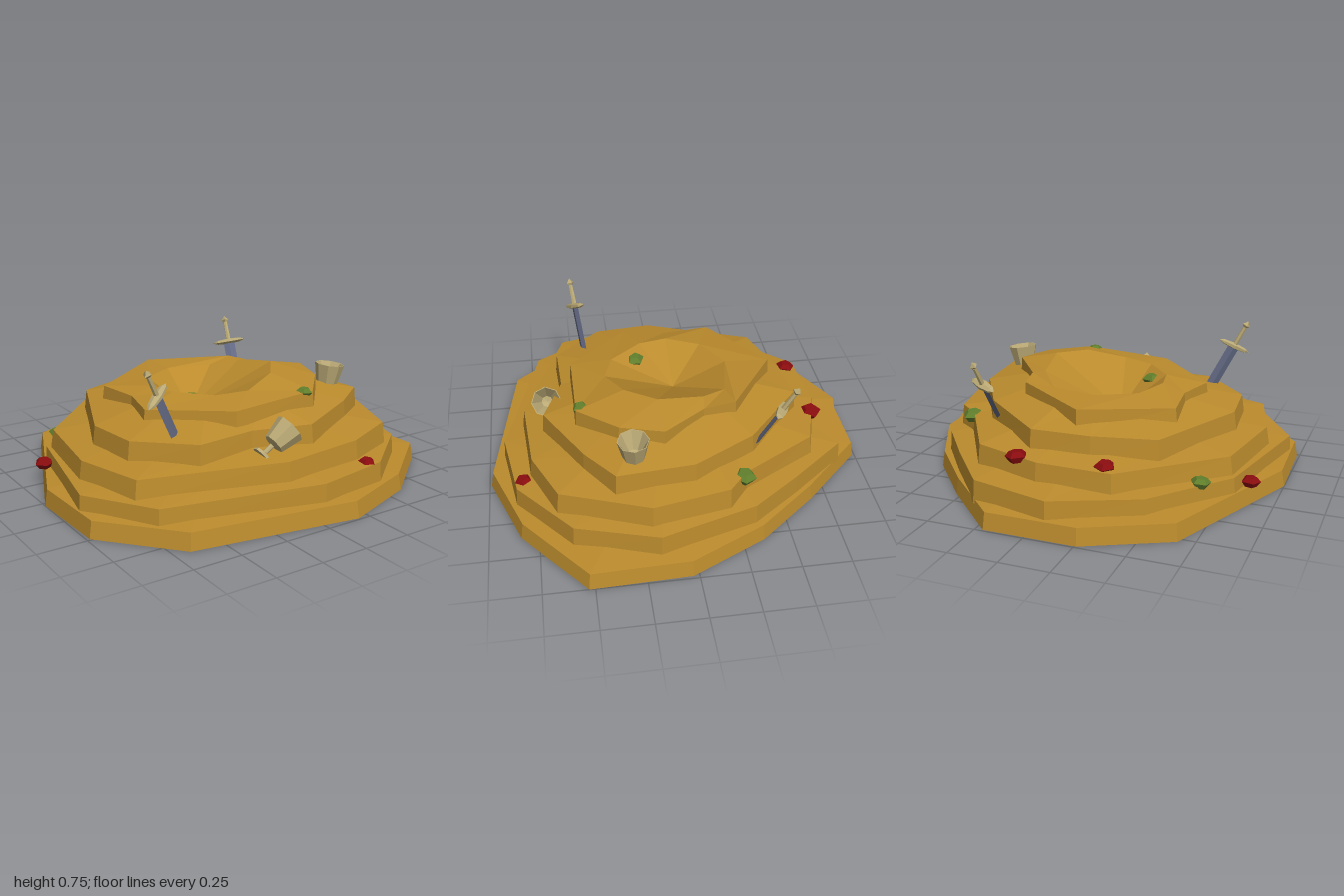
import * as THREE from 'three';

const mat = (name, color) => new THREE.MeshStandardMaterial({ name, color, flatShading: true });

export function createModel() {
  const group = new THREE.Group();
  group.name = 'treasureMound';
  const gold = mat('gold', 0xbb8b2d);
  const red = mat('rubyRed', 0x8a0c0f);
  const green = mat('gemGreen', 0x617f2c);
  const pale = mat('paleBrass', 0xbbaa76);
  const steel = mat('blueSteel', 0x646b85);

  // Joins successive loops of equal length into one faceted skin
  const skin = (name, loops) => {
    const p = [];
    for (let k = 0; k + 1 < loops.length; k++) {
      const a = loops[k], b = loops[k + 1], n = a.length;
      for (let i = 0; i < n; i++) {
        const j = (i + 1) % n;
        p.push(...a[i], ...b[i], ...a[j], ...b[i], ...b[j], ...a[j]);
      }
    }
    const g = new THREE.BufferGeometry();
    g.setAttribute('position', new THREE.Float32BufferAttribute(p, 3));
    g.computeVertexNormals();
    const m = new THREE.Mesh(g, gold);
    m.name = name;
    group.add(m);
  };

  // Terrace outlines as [x, z], clockwise from the back, with edge height, tilt and inner rise
  const tiers = [
    { y: 0.085, tilt: 0, rise: 0.03, flare: 1, pts: [[-.26, -.99], [.21, -.99], [.53, -.67], [.79, -.36], [.985, .03], [1, .53],
      [.61, .84], [.19, .99], [-.67, .85], [-.985, .49], [-1, .03], [-.67, -.78]] },
    { y: 0.178, tilt: 0.018, rise: 0.035, flare: 1.01, pts: [[-.09, -.95], [.32, -.86], [.56, -.57], [.75, -.32], [.905, .17], [.78, .58],
      [.45, .845], [.05, .905], [-.74, .70], [-.96, .35], [-.82, -.34], [-.5, -.75]] },
    { y: 0.283, tilt: 0.03, rise: 0.04, flare: 1.02, pts: [[-.34, -.76], [.03, -.78], [.38, -.68], [.62, -.29], [.74, -.19], [.82, .2],
      [.65, .64], [.36, .76], [-.08, .79], [-.77, .55], [-.865, .18], [-.79, -.31]] },
    { y: 0.393, tilt: 0.035, rise: 0.07, flare: 1.02, pts: [[-.18, -.615], [.115, -.65], [.47, -.35], [.66, -.03], [.695, .36], [.5, .5],
      [.135, .685], [-.15, .58], [-.45, .59], [-.69, .34], [-.72, .04], [-.49, -.52]] },
    { y: 0.49, tilt: 0.06, flare: 1.02, pts: [[-.08, -.545], [.31, -.29], [.35, -.12], [.52, .1], [.45, .32], [.27, .52],
      [-.2, .52], [-.525, .2], [-.47, -.03], [-.5, -.28]] },
  ];
  const names = ['baseTerrace', 'secondTerrace', 'thirdTerrace', 'fourthTerrace', 'craterTerrace'];
  // Rim of the crater, one point per corner of the highest terrace, and its lowest point
  const rim = [[-.09, .49, -.31], [.16, .485, -.26], [.27, .53, -.13], [.31, .565, .11], [.19, .555, .27],
    [-.01, .51, .35], [-.18, .50, .30], [-.32, .50, .13], [-.35, .50, -.02], [-.28, .49, -.2]];
  const pit = [-.12, .33, -.03];

  tiers.forEach(({ y, tilt, rise, flare, pts }, k) => {
    const low = k ? tiers[k - 1].y - 0.02 : 0;
    const bottom = pts.map(([x, z]) => [x * flare, low, z * flare]);
    const inset = k ? 1 : 0.985;
    const edge = pts.map(([x, z]) => [x * inset, y + tilt * x, z * inset]);
    const loops = [bottom, edge];
    if (k === 0) loops.unshift(pts.map(() => [0, 0, 0]));
    // Each terrace floor runs on beneath the next terrace
    const inner = k === 3 ? 0.55 : 0.65;
    if (k < 4) loops.push(pts.map(([x, z]) => [x * inner, y + tilt * x + rise, z * inner]));
    else loops.push(rim, rim.map(() => pit));
    skin(names[k], loops);
  });

  // Sword with its origin at the guard, aimed by its up and guard directions
  const sword = (name, pos, up, across) => {
    const s = new THREE.Group();
    s.name = name;
    const add = (part, geo, m, y) => {
      const o = new THREE.Mesh(geo, m);
      o.name = part;
      o.position.y = y;
      s.add(o);
    };
    add('blade', new THREE.CylinderGeometry(0.032, 0.032, 0.3, 4).scale(1, 1, 0.3), steel, -0.15);
    add('guard', new THREE.SphereGeometry(1, 6, 4).rotateZ(Math.PI / 2).scale(0.095, 0.017, 0.03), pale, 0);
    add('grip', new THREE.CylinderGeometry(0.011, 0.014, 0.12, 6), pale, 0.06);
    add('pommel', new THREE.OctahedronGeometry(1).scale(0.022, 0.026, 0.022), pale, 0.132);
    const Y = new THREE.Vector3(...up).normalize();
    const Z = new THREE.Vector3(...across).cross(Y).normalize();
    const X = new THREE.Vector3().crossVectors(Y, Z);
    s.quaternion.setFromRotationMatrix(new THREE.Matrix4().makeBasis(X, Y, Z));
    s.position.set(...pos);
    group.add(s);
  };
  sword('leftSword', [-.605, .605, .465], [-.18, .36, .05], [.15, .07, -.09]);
  sword('rightSword', [.45, .535, -.495], [.035, .29, -.16], [.18, .02, .1]);

  // Goblets: foot, stem and hollow eight-sided bowl, origin at the rim centre
  const v2 = (a) => a.map(([x, y]) => new THREE.Vector2(x, y));
  const gobletGeo = new THREE.LatheGeometry(v2([[0, -.2], [.052, -.2], [.048, -.185], [.014, -.175], [.014, -.125],
    [.055, -.115], [.08, 0], [.076, 0], [.03, -.09], [0, -.1]]), 8);
  const goblet = (name, pos, axis) => {
    const m = new THREE.Mesh(gobletGeo, pale);
    m.name = name;
    m.position.set(...pos);
    m.quaternion.setFromUnitVectors(new THREE.Vector3(0, 1, 0), new THREE.Vector3(...axis).normalize());
    group.add(m);
  };
  goblet('standingGoblet', [.595, .543, .265], [.13, 1, .03]);
  goblet('fallenGoblet', [.015, .395, .665], [.83, .58, .04]);

  // Flattened five-sided gems
  const gemGeo = new THREE.LatheGeometry(v2([[0, -.032], [.035, -.028], [.058, .003], [.034, .027], [0, .027]]), 5);
  const gem = (name, m, x, y, z, size, turn) => {
    const o = new THREE.Mesh(gemGeo, m);
    o.name = name;
    o.position.set(x, y, z);
    o.scale.setScalar(size);
    o.rotation.set(0.12 * Math.sin(turn * 3), turn, 0.12 * Math.cos(turn * 5));
    group.add(o);
  };
  [[.39, .185, .81, .8, 0.3], [-.88, .115, -.24, .88, 1.1], [-.29, .285, -.71, .9, 2], [.15, .285, -.74, 1, 0.6]]
    .forEach((g, i) => gem('redGem' + (i + 1), red, ...g));
  [[-.69, .175, -.48, .9, 0.2], [.63, .285, -.28, 1.05, 1.5], [-.23, .455, .17, .98, 0.9], [.235, .5, .495, .74, 0.5]]
    .forEach((g, i) => gem('greenGem' + (i + 1), green, ...g));

  return group;
}
